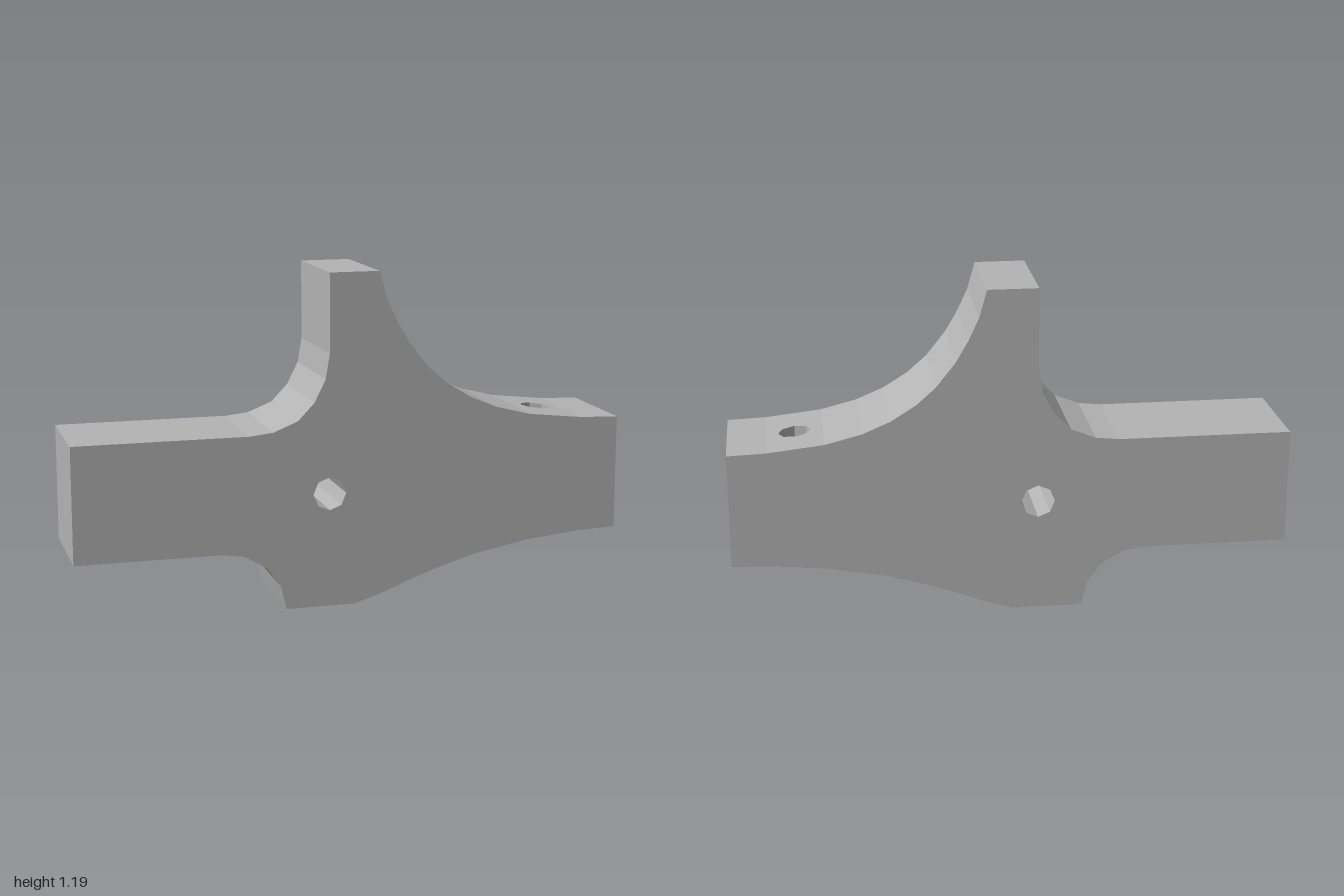
import * as THREE from 'three';

const HALF = 0.195; // half thickness along z

// Body outline, counter-clockwise from the lower left corner
const OUTLINE = [
  // lower edge: left arm, foot, sweep to the right arm
  [-1, 0.215], [-0.48, 0.215], [-0.4, 0.203], [-0.32, 0.155], [-0.27, 0.085], [-0.25, 0],
  [0, 0], [0.1, 0.03], [0.2, 0.07], [0.3, 0.105], [0.45, 0.15], [0.66, 0.19], [0.86, 0.21], [1, 0.215],
  // upper edge: right arm, big fillet up to the post
  [1, 0.63], [0.86, 0.635], [0.66, 0.657], [0.53, 0.69], [0.43, 0.732], [0.34, 0.788],
  [0.27, 0.85], [0.2, 0.938], [0.155, 1.015], [0.118, 1.095], [0.09, 1.193],
  // post and small fillet down to the left arm
  [-0.09, 1.193], [-0.09, 0.91], [-0.105, 0.82], [-0.145, 0.74], [-0.205, 0.677],
  [-0.295, 0.641], [-0.38, 0.632], [-1, 0.632],
].map(([x, y]) => new THREE.Vector2(x, y));

// The two flat segments the vertical bore passes through
const X0 = 0.66, X1 = 0.86;
const lerpY = (y0, y1) => x => y0 + (y1 - y0) * (x - X0) / (X1 - X0);
const topY = lerpY(0.657, 0.635);
const bottomY = lerpY(0.19, 0.21);
const isPierced = (a, b) => Math.min(a.x, b.x) === X0 && Math.max(a.x, b.x) === X1;

// Clockwise eight-sided ring
function octagon(cx, cy, r) {
  return Array.from({ length: 8 }, (_, i) => {
    const a = -i * Math.PI / 4;
    return new THREE.Vector2(cx + r * Math.cos(a), cy + r * Math.sin(a));
  });
}

// Quads joining two matching closed rings
function strip(ring, toA, toB, skip = () => false) {
  const pos = [];
  ring.forEach((p, i) => {
    const q = ring[(i + 1) % ring.length];
    if (skip(p, q)) return;
    for (const v of [toA(p), toB(p), toB(q), toA(p), toB(q), toA(q)]) pos.push(...v);
  });
  const geo = new THREE.BufferGeometry();
  geo.setAttribute('position', new THREE.Float32BufferAttribute(pos, 3));
  geo.computeVertexNormals();
  return geo;
}

// Flat outline with one hole, each point placed in space by a rule
function plate(ring, hole, place, flip = false) {
  const shape = new THREE.Shape(ring);
  shape.holes.push(new THREE.Path(hole));
  const geo = new THREE.ShapeGeometry(shape);
  const pos = geo.attributes.position;
  for (let i = 0; i < pos.count; i++) pos.setXYZ(i, ...place({ x: pos.getX(i), y: pos.getY(i) }));
  if (flip) geo.setIndex(Array.from(geo.index.array).reverse());
  geo.computeVertexNormals();
  return geo;
}

export function createModel() {
  const group = new THREE.Group();
  group.name = 'bracket';
  const grey = new THREE.MeshStandardMaterial({ color: 0xb4b4b4, flatShading: true });
  grey.name = 'grey';
  const add = (name, geo) => {
    const mesh = new THREE.Mesh(geo, grey);
    mesh.name = name;
    group.add(mesh);
  };

  // Front and back faces, outer walls and the bore from front to back
  const front = p => [p.x, p.y, HALF];
  const back = p => [p.x, p.y, -HALF];
  const crossHole = octagon(-0.09, 0.41, 0.06);
  add('frontFace', plate(OUTLINE, crossHole, front));
  add('backFace', plate(OUTLINE, crossHole, back, true));
  add('outerWalls', strip(OUTLINE, front, back, isPierced));
  add('crossBore', strip(crossHole, front, back));

  // Drilled patches above and below the right arm, and the bore between them
  const top = p => [p.x, topY(p.x), -p.y];
  const bottom = p => [p.x, bottomY(p.x), -p.y];
  const patch = [[X0, -HALF], [X1, -HALF], [X1, HALF], [X0, HALF]].map(c => new THREE.Vector2(...c));
  const armHole = octagon(0.76, 0.006, 0.058);
  add('armTopPatch', plate(patch, armHole, top));
  add('armBottomPatch', plate(patch, armHole, bottom, true));
  add('armBore', strip(armHole, top, bottom));

  return group;
}
